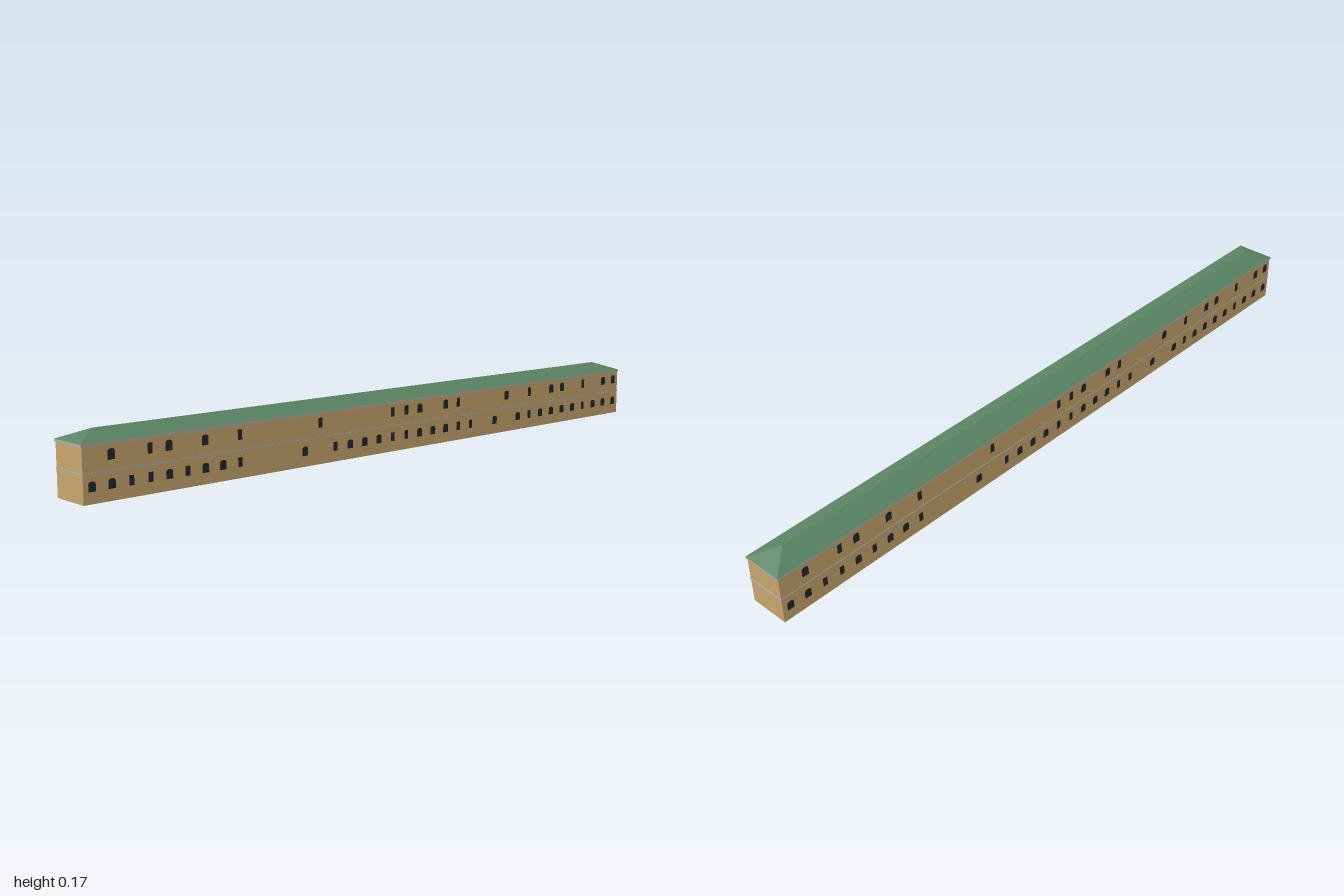
import * as THREE from 'three';

const mat = (name, color, side = THREE.FrontSide) => {
  const m = new THREE.MeshStandardMaterial({ color, side });
  m.name = name;
  return m;
};

// Box standing on y0
function box(name, w, y0, y1, d, material) {
  const mesh = new THREE.Mesh(new THREE.BoxGeometry(w, y1 - y0, d), material);
  mesh.position.y = (y0 + y1) / 2;
  mesh.name = name;
  return mesh;
}

// Storey with no underside, so its inside shows from below
function storey(name, y0, y1, material) {
  const mesh = box(name, 1.994, y0, y1, 0.113, material);
  const g = mesh.geometry;
  const index = Array.from(g.index.array);
  index.splice(18, 6);
  g.setIndex(index);
  g.clearGroups();
  return mesh;
}

// Hipped roof: four eave corners and a ridge
function hipRoof(material) {
  const [x, z, y, r, h] = [1, 0.0585, 0.14, 0.935, 0.165];
  const a = [-x, y, z], b = [x, y, z], c = [x, y, -z], d = [-x, y, -z];
  const p = [-r, h, 0], q = [r, h, 0];
  const tris = [a, b, q, a, q, p, c, d, p, c, p, q, b, c, q, d, a, p, a, d, c, a, c, b];
  const g = new THREE.BufferGeometry();
  g.setAttribute('position', new THREE.Float32BufferAttribute(tris.flat(), 3));
  g.computeVertexNormals();
  const mesh = new THREE.Mesh(g, material);
  mesh.name = 'roof';
  return mesh;
}

// Thin window plate; wide ones have an arched head
function windowGeometry(w, h, arched) {
  const s = new THREE.Shape();
  const spring = arched ? h - w * 0.35 : h;
  s.moveTo(-w / 2, 0);
  s.lineTo(w / 2, 0);
  s.lineTo(w / 2, spring);
  if (arched) s.quadraticCurveTo(w / 2, h, 0, h).quadraticCurveTo(-w / 2, h, -w / 2, spring);
  else s.lineTo(-w / 2, spring);
  return new THREE.ExtrudeGeometry(s, { depth: 0.0012, bevelEnabled: false, curveSegments: 3 });
}

export function createModel() {
  const wall = mat('ochre wall', 0xc8a76e, THREE.DoubleSide);
  const trim = mat('grey trim', 0xb2b0ac);
  const green = mat('green roof', 0x5a8463);
  const glass = mat('dark glass', 0x23282c);

  const model = new THREE.Group();
  model.name = 'longBuilding';
  model.add(
    storey('lowerStorey', 0, 0.068, wall),
    storey('upperStorey', 0.068, 0.136, wall),
    box('beltCourse', 1.997, 0.069, 0.073, 0.1145, trim),
    box('cornice', 2, 0.134, 0.14, 0.117, trim),
    hipRoof(green)
  );

  // Window bays on a pitch of 38 per side
  const bayX = (k) => -1 + (k + 0.5) * (2 / 38);
  const rows = [
    {
      name: 'lowerWindow', y: 0.029, h: 0.024,
      bays: [0, 1, 2, 3, 4, 5, 6, 7, 8, 12, 14, 15, 16, 17, 18, 19, 20, 21, 22, 23, 24,
        26, 28, 29, 30, 31, 32, 33, 34, 35, 36, 37],
      narrow: [2, 3, 5, 8, 14, 18, 19, 23, 24, 29, 34]
    },
    {
      name: 'upperWindow', y: 0.097, h: 0.026,
      bays: [1, 3, 4, 6, 8, 13, 18, 19, 20, 22, 23, 27, 29, 31, 32, 34, 36, 37],
      narrow: [3, 8, 13, 18, 19, 23, 29, 34]
    }
  ];

  // The same facade on both long sides, turned half round
  for (const side of [0, 1]) {
    const facade = new THREE.Group();
    facade.name = side ? 'backWindows' : 'frontWindows';
    facade.rotation.y = side * Math.PI;
    for (const { name, y, h, bays, narrow } of rows) {
      const wideGeo = windowGeometry(0.019, h, true);
      const narrowGeo = windowGeometry(0.013, h, false);
      for (const k of bays) {
        const pane = new THREE.Mesh(narrow.includes(k) ? narrowGeo : wideGeo, glass);
        pane.name = name;
        pane.position.set(bayX(k), y, 0.0562);
        facade.add(pane);
      }
    }
    model.add(facade);
  }
  return model;
}
